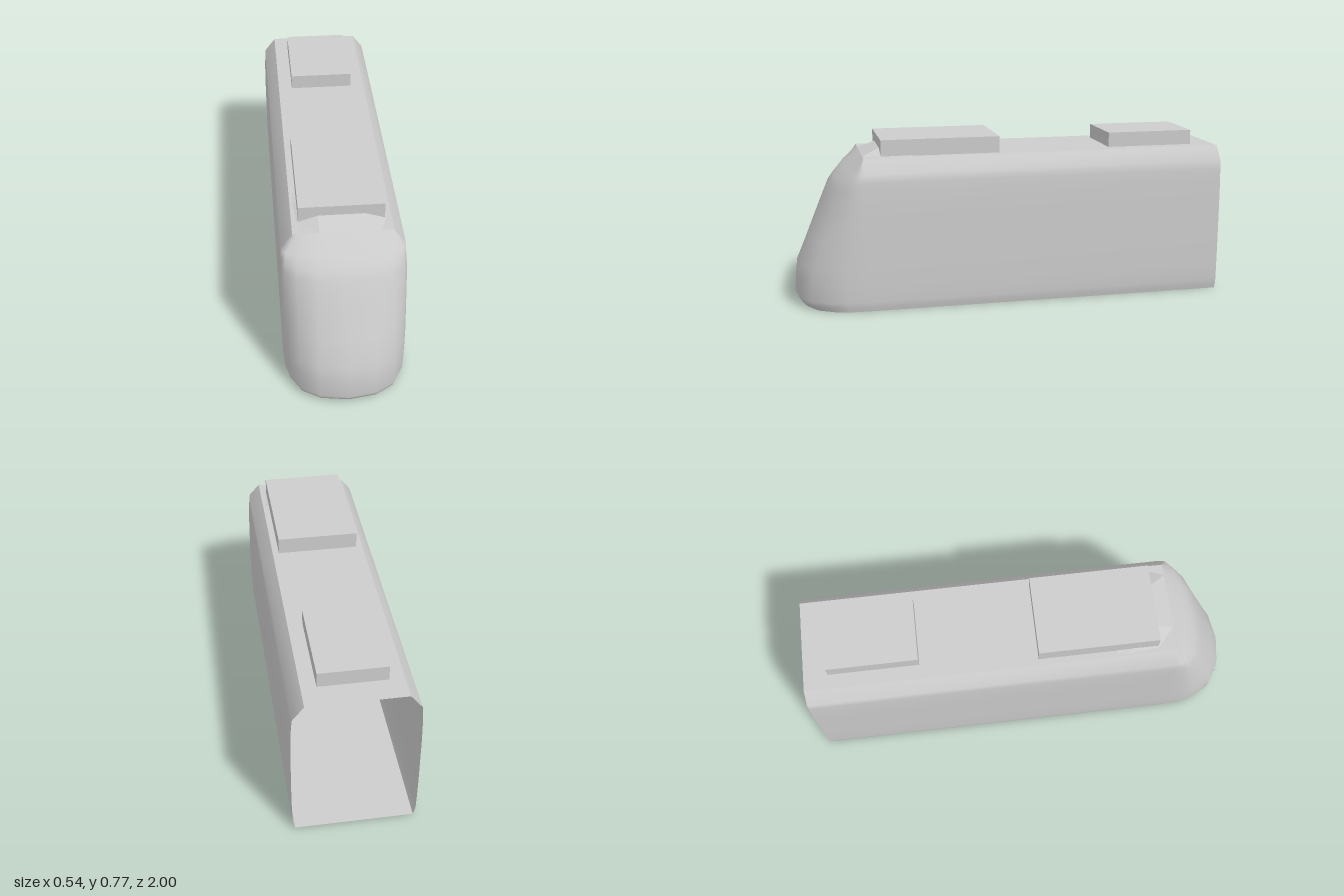
import * as THREE from 'three';

// [height, half width, z of the nose tip] from sill to roof edge
const LEVELS = [
  [0, 0.257, 0.965], [0.02, 0.262, 0.985], [0.045, 0.267, 0.997], [0.12, 0.269, 0.992],
  [0.2, 0.27, 0.983], [0.32, 0.27, 0.932], [0.45, 0.27, 0.875], [0.55, 0.268, 0.83],
  [0.59, 0.265, 0.8], [0.63, 0.262, 0.76], [0.695, 0.212, 0.68],
];
// nose outline in plan: share of half width, share of nose length
const PLAN = [[1, 0], [0.985, 0.3], [0.93, 0.5], [0.75, 0.78], [0.45, 0.94], [0, 1]];
const BACK = -1, SHOULDER = 0.68, ROOF = 0.695;

// open outline of the shell at one level, from the left rear around the nose
function outline([y, w, tip]) {
  const half = [[1, null], ...PLAN].map(([a, b]) =>
    [a * w, y, b === null ? BACK : SHOULDER + (tip - SHOULDER) * b]);
  const mirrored = half.slice(0, -1).reverse().map(([x, h, z]) => [-x, h, z]);
  return [...half, ...mirrored];
}

// surface through rows of points
function loft(rows) {
  const n = rows[0].length, index = [];
  for (let r = 0; r < rows.length - 1; r++) {
    for (let i = 0; i < n - 1; i++) {
      const p = r * n + i, q = p + n;
      index.push(p, q, p + 1, p + 1, q, q + 1);
    }
  }
  const g = new THREE.BufferGeometry();
  g.setAttribute('position', new THREE.Float32BufferAttribute(rows.flat(2), 3));
  g.setIndex(index);
  g.computeVertexNormals();
  return g;
}

export function createModel() {
  const group = new THREE.Group();
  const grey = new THREE.MeshStandardMaterial({ color: 0xcccccc, side: THREE.DoubleSide });
  grey.name = 'light grey';

  function add(name, geometry, x = 0, y = 0, z = 0) {
    const mesh = new THREE.Mesh(geometry, grey);
    mesh.name = name;
    mesh.position.set(x, y, z);
    group.add(mesh);
    return mesh;
  }

  // side walls and rounded nose, open at the rear
  add('shell', loft(LEVELS.map(outline)));

  // floor follows the lowest outline
  const floorShape = new THREE.Shape(outline(LEVELS[0]).map(([x, , z]) => new THREE.Vector2(x, z)));
  add('floor', new THREE.ShapeGeometry(floorShape).rotateX(Math.PI / 2));

  // flat roof
  const roofWidth = LEVELS[LEVELS.length - 1][1] * 2;
  add('roof', new THREE.PlaneGeometry(roofWidth, SHOULDER - BACK).rotateX(-Math.PI / 2),
    0, ROOF, (SHOULDER + BACK) / 2);

  // low fairing that rises from the nose into the front roof unit
  const fairing = [[0.68, 0.16, 0.1, 0.001], [0.6, 0.19, 0.1, 0.03], [0.46, 0.2, 0.12, 0.012], [0.4, 0.2, 0.12, 0.001]]
    .map(([z, base, top, h]) => [
      [-base, ROOF, z], [-top, ROOF + h, z], [top, ROOF + h, z], [base, ROOF, z],
    ]);
  const fairingGeometry = loft(fairing.reverse().map((row) => row.reverse())).toNonIndexed();
  fairingGeometry.computeVertexNormals();
  add('roofFairing', fairingGeometry);

  // roof units: half width, height, rear z, front z
  for (const [name, w, h, z0, z1] of [
    ['frontRoofUnit', 0.183, 0.075, 0.055, 0.6],
    ['rearRoofUnit', 0.147, 0.068, -0.89, -0.48],
  ]) {
    add(name, new THREE.BoxGeometry(w * 2, h, z1 - z0), 0, ROOF + h / 2, (z0 + z1) / 2);
  }

  // tiny diamond lamps on the nose
  for (const side of [1, -1]) {
    const lamp = add(side > 0 ? 'leftLamp' : 'rightLamp', new THREE.CircleGeometry(0.009, 4),
      side * 0.145, 0.127, 0.967);
    lamp.rotation.y = side * 0.45;
  }
  return group;
}
